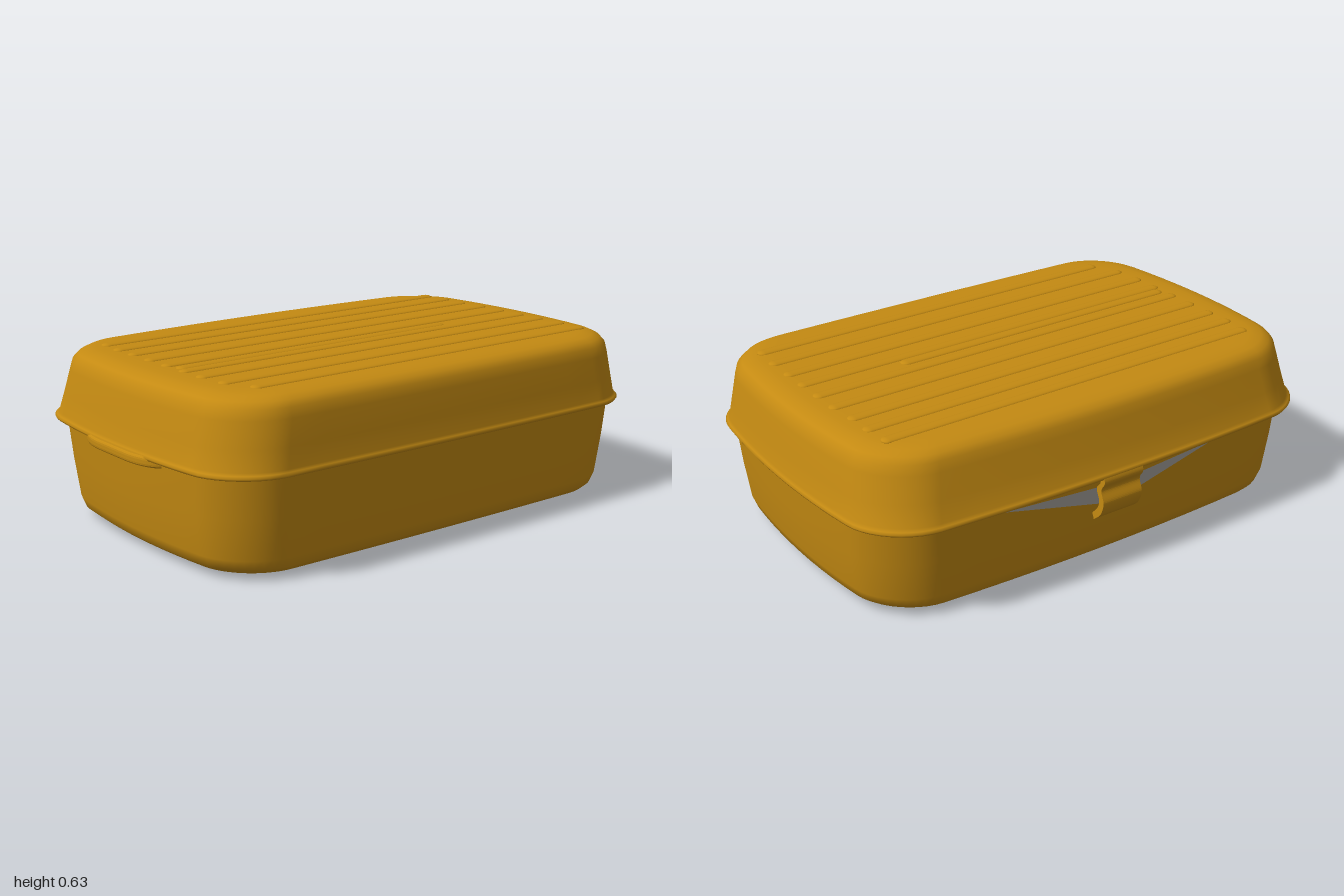
import * as THREE from 'three';

const gold = new THREE.MeshStandardMaterial({ color: 0xc48a12, side: THREE.DoubleSide });
gold.name = 'ochre plastic';
const grey = new THREE.MeshStandardMaterial({ color: 0xa8a5a0, side: THREE.DoubleSide });
grey.name = 'pale grey';
const dark = new THREE.MeshStandardMaterial({ color: 0x4a3213 });
dark.name = 'dark brown';

// Rounded rectangle outline with gently bulging sides
function outline(hx, hz, r, bulge = 1) {
  const corners = [[1, 1], [-1, 1], [-1, -1], [1, -1]];
  const raw = [];
  const N = 10, E = 10;
  corners.forEach(([sx, sz], k) => {
    const arc = (c, i) => {
      const a = (k + c + i / N) * Math.PI / 2;
      const [cx, cz] = corners[(k + c) % 4];
      return [cx * (hx - r) + r * Math.cos(a), cz * (hz - r) + r * Math.sin(a)];
    };
    for (let i = 0; i <= N; i++) raw.push(arc(0, i));
    const p = arc(0, N), q = arc(1, 0);
    for (let i = 1; i < E; i++) {
      raw.push([p[0] + (q[0] - p[0]) * i / E, p[1] + (q[1] - p[1]) * i / E]);
    }
  });
  return raw.map(([x, z]) => [
    x * (1 - bulge * 0.06 * (z / hz) ** 2),
    z * (1 - bulge * (z < 0 ? 0.06 : 0.015) * (x / hx) ** 2),
  ]);
}

// Skin through stacked outlines; each ring is [y, halfX, halfZ, centreZ, cornerRadius]
function loft(rings) {
  const pos = [], idx = [];
  let n = 0;
  rings.forEach(([y, hx, hz, cz, r]) => {
    const pts = outline(hx, hz, r);
    n = pts.length;
    pts.forEach(([x, z]) => pos.push(x, y, z + cz));
  });
  for (let j = 0; j < rings.length - 1; j++) {
    for (let i = 0; i < n; i++) {
      const a = j * n + i, b = j * n + (i + 1) % n;
      idx.push(a, a + n, b, b, a + n, b + n);
    }
  }
  const g = new THREE.BufferGeometry();
  g.setAttribute('position', new THREE.Float32BufferAttribute(pos, 3));
  g.setIndex(idx);
  g.computeVertexNormals();
  return g;
}

export function createModel() {
  const group = new THREE.Group();
  const add = (name, geo, mat, parent = group) => {
    const m = new THREE.Mesh(geo, mat);
    m.name = name;
    parent.add(m);
    return m;
  };

  // Lower tray
  add('tray', loft([
    [0.01, 0.002, 0.002, 0.012, 0.001],
    [0.01, 0.80, 0.47, 0.012, 0.13],
    [0.012, 0.86, 0.53, 0.012, 0.17],
    [0.021, 0.895, 0.563, 0.012, 0.19],
    [0.04, 0.918, 0.582, 0.012, 0.2],
    [0.075, 0.93, 0.592, 0.012, 0.2],
    [0.22, 0.948, 0.604, 0.012, 0.2],
    [0.375, 0.962, 0.614, 0.012, 0.2],
  ]), gold);

  // Lid with its lip
  add('lid', loft([
    [0.366, 0.95, 0.6, 0.008, 0.2],
    [0.362, 0.972, 0.64, 0, 0.21],
    [0.366, 0.985, 0.655, 0, 0.21],
    [0.374, 0.989, 0.659, 0, 0.21],
    [0.382, 0.984, 0.654, 0, 0.21],
    [0.39, 0.977, 0.647, 0.002, 0.21],
    [0.46, 0.964, 0.632, 0.009, 0.21],
    [0.55, 0.947, 0.616, 0.016, 0.21],
    [0.585, 0.937, 0.606, 0.017, 0.2],
    [0.606, 0.92, 0.592, 0.017, 0.2],
    [0.619, 0.893, 0.567, 0.017, 0.18],
    [0.625, 0.85, 0.53, 0.017, 0.15],
    [0.625, 0.80, 0.49, 0.017, 0.12],
    [0.625, 0.002, 0.002, 0.017, 0.001],
  ]), gold);

  // Raised ribs across the lid top: [z, start x, end x]
  const ribs = new THREE.Group();
  ribs.name = 'lidRibs';
  group.add(ribs);
  [
    [-0.40, -0.79, 0.81], [-0.30, -0.80, 0.82], [-0.20, -0.80, 0.82],
    [-0.09, -0.80, 0.83], [0.02, -0.80, 0.83], [0.085, -0.78, 0.44],
    [0.13, -0.80, 0.83], [0.235, -0.80, 0.83], [0.35, -0.79, 0.83], [0.46, -0.74, 0.82],
  ].forEach(([z, x0, x1]) => {
    const geo = new THREE.CapsuleGeometry(0.024, x1 - x0 - 0.048, 6, 14);
    geo.rotateZ(Math.PI / 2).scale(1, 0.36, 1).rotateY(0.011);
    add('rib', geo, gold, ribs).position.set((x0 + x1) / 2, 0.624, z);
  });

  // Thumb tab on the right end
  const tabShape = new THREE.Shape();
  tabShape.moveTo(-0.93, -0.26);
  tabShape.bezierCurveTo(-0.965, -0.24, -0.992, -0.19, -0.992, -0.09);
  tabShape.lineTo(-0.992, 0.06);
  tabShape.bezierCurveTo(-0.992, 0.16, -0.965, 0.21, -0.93, 0.24);
  const tabGeo = new THREE.ExtrudeGeometry(tabShape, {
    depth: 0.012, bevelThickness: 0.012, bevelSize: 0.008, bevelSegments: 3, curveSegments: 14,
  });
  tabGeo.rotateX(-Math.PI / 2);
  add('thumbTab', tabGeo, gold).position.y = 0.354;

  // Snap clasp on the back, bent strip in profile (z, y)
  const outer = [[-0.655, 0.378], [-0.66, 0.352], [-0.643, 0.318], [-0.657, 0.27], [-0.64, 0.222], [-0.605, 0.19]];
  const inner = [[-0.595, 0.212], [-0.622, 0.242], [-0.632, 0.275], [-0.617, 0.318], [-0.636, 0.35], [-0.6, 0.366]];
  const vecs = (a) => a.map(([z, y]) => new THREE.Vector2(z, y));
  const claspShape = new THREE.Shape();
  claspShape.moveTo(-0.6, 0.39);
  claspShape.lineTo(...outer[0]);
  claspShape.splineThru(vecs(outer.slice(1)));
  claspShape.lineTo(...inner[0]);
  claspShape.splineThru(vecs(inner.slice(1)));
  const clasp = add('clasp', new THREE.ExtrudeGeometry(claspShape, {
    depth: 0.17, bevelEnabled: false, curveSegments: 8,
  }), gold);
  clasp.rotation.y = -Math.PI / 2;
  clasp.position.x = 0.085;

  // Pale worn wedges on the wall either side of the clasp
  [1, -1].forEach((s) => {
    const geo = new THREE.BufferGeometry();
    geo.setAttribute('position', new THREE.Float32BufferAttribute([
      0, 0.312, -0.614, s * 0.46, 0.335, -0.597, 0, 0.23, -0.606,
    ], 3));
    geo.setIndex(s > 0 ? [0, 1, 2] : [0, 2, 1]);
    geo.computeVertexNormals();
    add(s > 0 ? 'leftWedge' : 'rightWedge', geo, grey);
  });

  // Foot bead running around the underside
  const path = new THREE.CatmullRomCurve3(
    outline(0.77, 0.44, 0.07, 0).map(([x, z]) => new THREE.Vector3(x, 0.01, z + 0.03)), true);
  add('footBead', new THREE.TubeGeometry(path, 200, 0.01, 8, true), gold);

  // Dark slits on the underside: [x, z start, z end, width]
  [
    [0.50, -0.33, 0.22, 0.008], [0.35, -0.33, -0.09, 0.02], [0.20, -0.32, 0.13, 0.022],
    [-0.17, -0.26, 0.22, 0.028], [-0.36, 0.02, 0.25, 0.018], [-0.37, -0.30, -0.06, 0.016],
    [0.58, 0.16, 0.25, 0.02],
  ].forEach(([x, z0, z1, w]) => {
    add('baseSlit', new THREE.BoxGeometry(w, 0.004, z1 - z0), dark)
      .position.set(x, 0.009, (z0 + z1) / 2);
  });

  return group;
}
